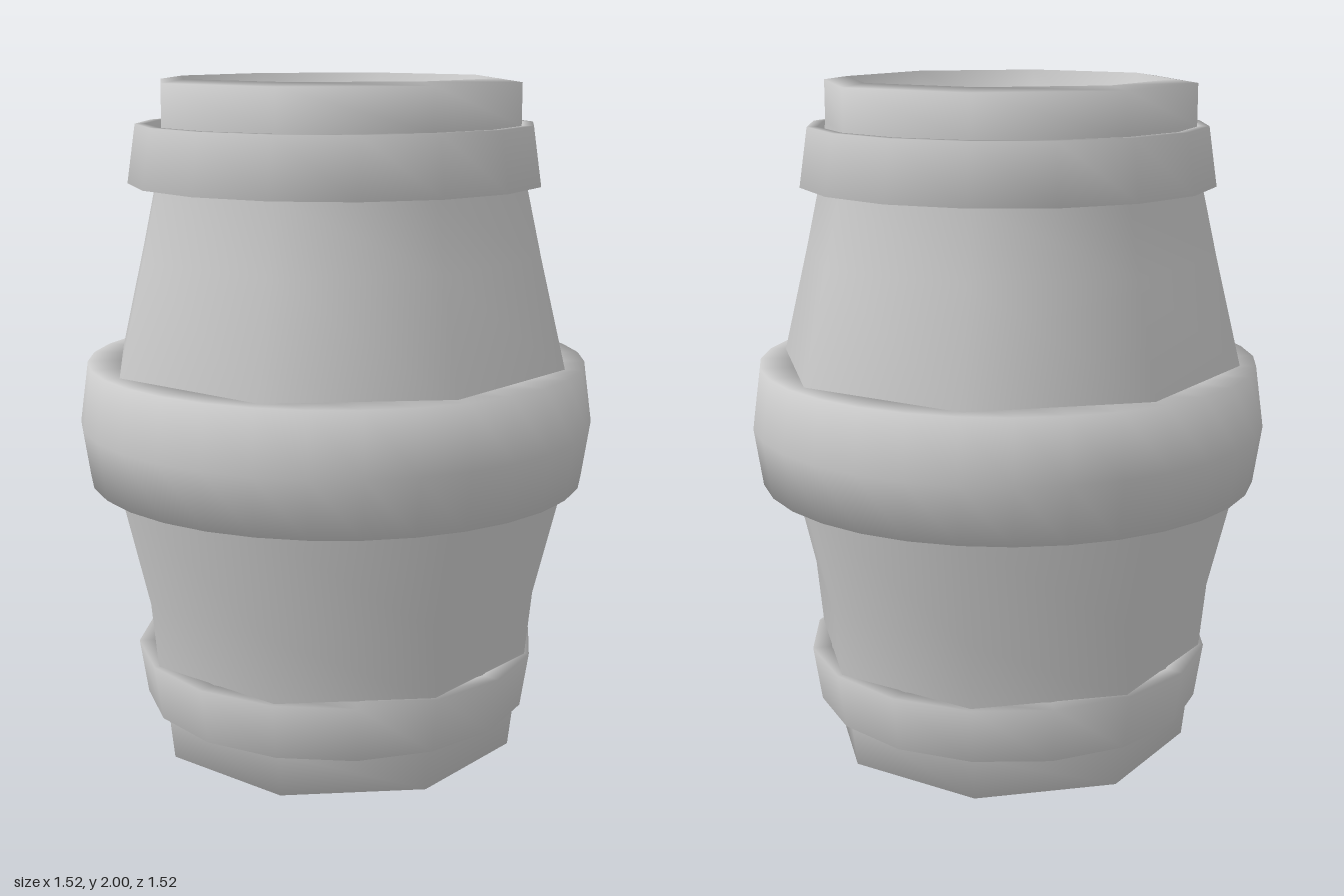
import * as THREE from 'three';

const material = new THREE.MeshStandardMaterial({ color: 0xcccccc, side: THREE.DoubleSide });

// Smooth turned part from [radius, height] points, listed so that faces point outwards
function turned(name, points, sides) {
  const profile = points.map(([r, y]) => new THREE.Vector2(r, y));
  const mesh = new THREE.Mesh(new THREE.LatheGeometry(profile, sides), material);
  mesh.name = name;
  return mesh;
}

// Closed hoop with soft edges: the profile runs from the inner wall round the band and back
function hoop(name, outer, inner, sides) {
  const low = outer[0][1], high = outer[outer.length - 1][1];
  const middle = [inner, (low + high) / 2];
  return turned(name, [middle, [inner, low], ...outer, [inner, high], middle], sides);
}

export function createModel() {
  const model = new THREE.Group();
  model.name = 'barrel';

  // Eight-sided bulging body with rims and recessed ends, shaded as one soft surface
  model.add(turned('body', [
    [0, 0.18], [0.47, 0.18], [0.475, 0],
    [0.545, 0.01], [0.56, 0.14], [0.59, 0.3], [0.61, 0.5], [0.69, 0.83], [0.705, 1],
    [0.69, 1.17], [0.61, 1.5], [0.565, 1.7], [0.545, 1.87], [0.545, 1.99],
    [0.475, 2], [0.47, 1.82], [0, 1.82]
  ], 8));

  // Hoops
  model.add(
    hoop('upperHoop', [[0.605, 1.7], [0.58, 1.87]], 0.55, 16),
    hoop('middleHoop', [[0.735, 0.83], [0.76, 1], [0.735, 1.18]], 0.62, 32),
    hoop('lowerHoop', [[0.58, 0.14], [0.605, 0.305]], 0.55, 16)
  );

  // Plug standing on the lid
  const plug = turned('plug', [[0.105, 1.81], [0.105, 1.89], [0, 1.9]], 9);
  plug.position.set(-0.17, 0, 0.07);
  model.add(plug);

  return model;
}
